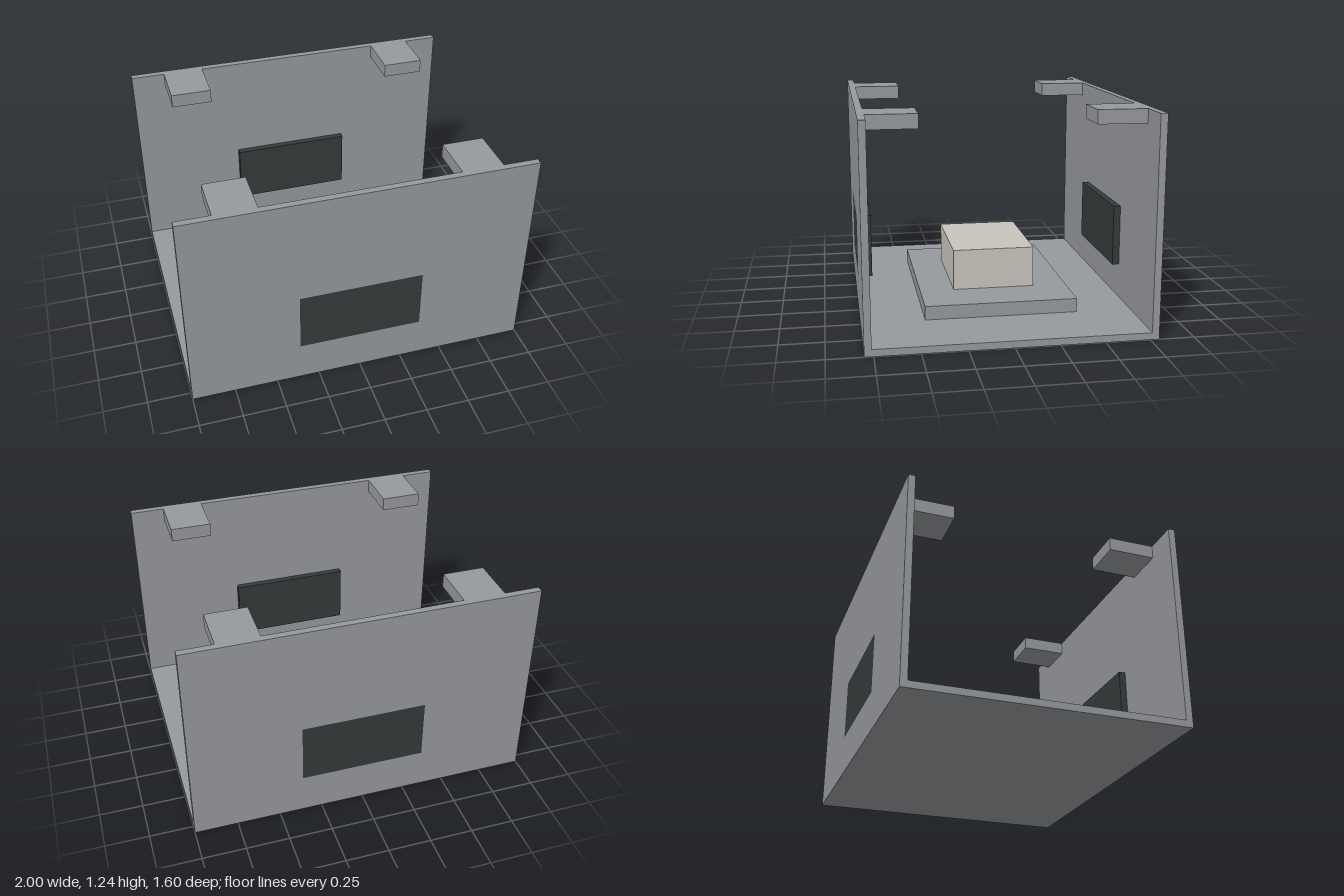
import * as THREE from 'three';

const W = 2, D = 1.6, H = 1.24, T = 0.04; // overall size and sheet thickness
const PANEL = { w: 0.72, y0: 0.24, y1: 0.6, depth: 0.08 };

export function createModel() {
  const metal = new THREE.MeshStandardMaterial({ color: 0x96999d });
  metal.name = 'grey metal';
  const dark = new THREE.MeshStandardMaterial({ color: 0x353a3a });
  dark.name = 'dark panel';
  const cream = new THREE.MeshStandardMaterial({ color: 0xc9c5bc });
  cream.name = 'cream block';

  const model = new THREE.Group();
  model.name = 'openHousing';

  const add = (parent, name, geometry, material, x, y, z) => {
    const mesh = new THREE.Mesh(geometry, material);
    mesh.name = name;
    mesh.position.set(x, y, z);
    parent.add(mesh);
  };
  const box = (parent, name, material, w, h, d, x, y, z) =>
    add(parent, name, new THREE.BoxGeometry(w, h, d), material, x, y, z);

  // Floor, raised plinth and central block
  box(model, 'floor', metal, W, T, D - 2 * T, 0, T / 2, 0);
  box(model, 'plinth', metal, 1.2, 0.08, 0.88, 0, 0.08, 0);
  box(model, 'centreBlock', cream, 0.64, 0.24, 0.48, 0, 0.24, 0);

  // Wall sheet with a cut-out for its panel
  const sheet = new THREE.Shape();
  sheet.moveTo(-W / 2, 0).lineTo(W / 2, 0).lineTo(W / 2, H).lineTo(-W / 2, H).closePath();
  const hole = new THREE.Path();
  const px = PANEL.w / 2;
  hole.moveTo(-px, PANEL.y0).lineTo(-px, PANEL.y1).lineTo(px, PANEL.y1).lineTo(px, PANEL.y0).closePath();
  sheet.holes.push(hole);
  const wallGeometry = new THREE.ExtrudeGeometry(sheet, { depth: T, bevelEnabled: false });

  // Each side: wall, panel flush outside and proud inside, two mounting tabs
  for (const [name, turn] of [['front', 0], ['back', Math.PI]]) {
    const side = new THREE.Group();
    side.name = name + 'Side';
    side.rotation.y = turn;
    add(side, name + 'Wall', wallGeometry, metal, 0, 0, D / 2 - T);
    box(side, name + 'Panel', dark, PANEL.w, PANEL.y1 - PANEL.y0, PANEL.depth,
      0, (PANEL.y0 + PANEL.y1) / 2, D / 2 - PANEL.depth / 2);
    for (const s of [-1, 1]) box(side, name + 'Tab', metal, 0.24, 0.08, 0.28, s * 0.68, H - 0.04, 0.62);
    model.add(side);
  }
  return model;
}
